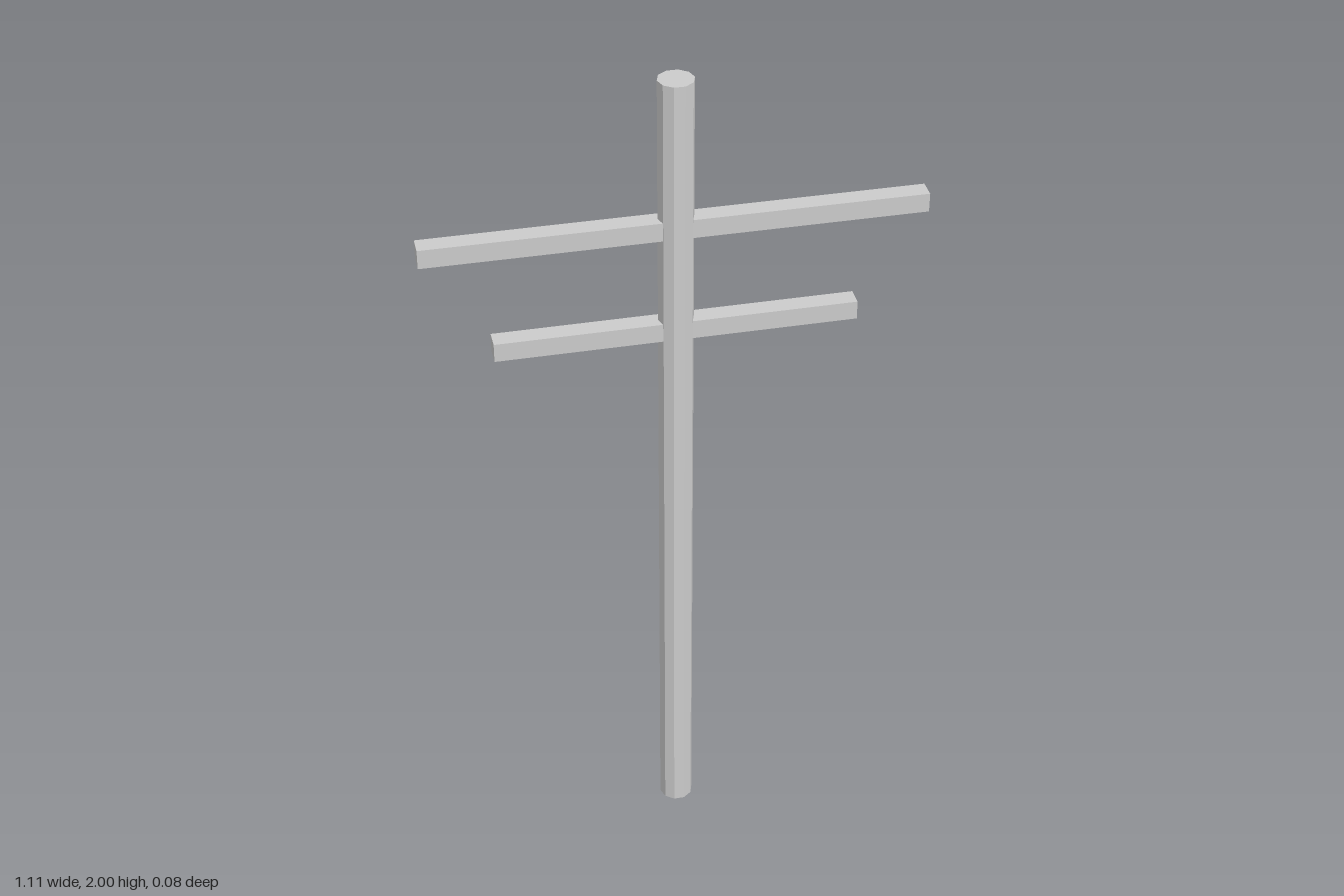
import * as THREE from 'three';

export function createModel() {
  const group = new THREE.Group();
  const material = new THREE.MeshStandardMaterial({ color: 0xcccccc, flatShading: true });

  const add = (name, geometry, y) => {
    const mesh = new THREE.Mesh(geometry, material);
    mesh.name = name;
    mesh.position.y = y;
    group.add(mesh);
    return mesh;
  };

  // Ten-sided upright pole, corners on the x axis
  add('pole', new THREE.CylinderGeometry(0.04, 0.04, 2, 10), 1).rotation.y = Math.PI / 2;

  // Two square crossarms running through the pole
  const thickness = 0.044;
  add('upperCrossarm', new THREE.BoxGeometry(1.11, thickness, thickness), 1.652);
  add('lowerCrossarm', new THREE.BoxGeometry(0.81, thickness, thickness), 1.397);

  return group;
}
